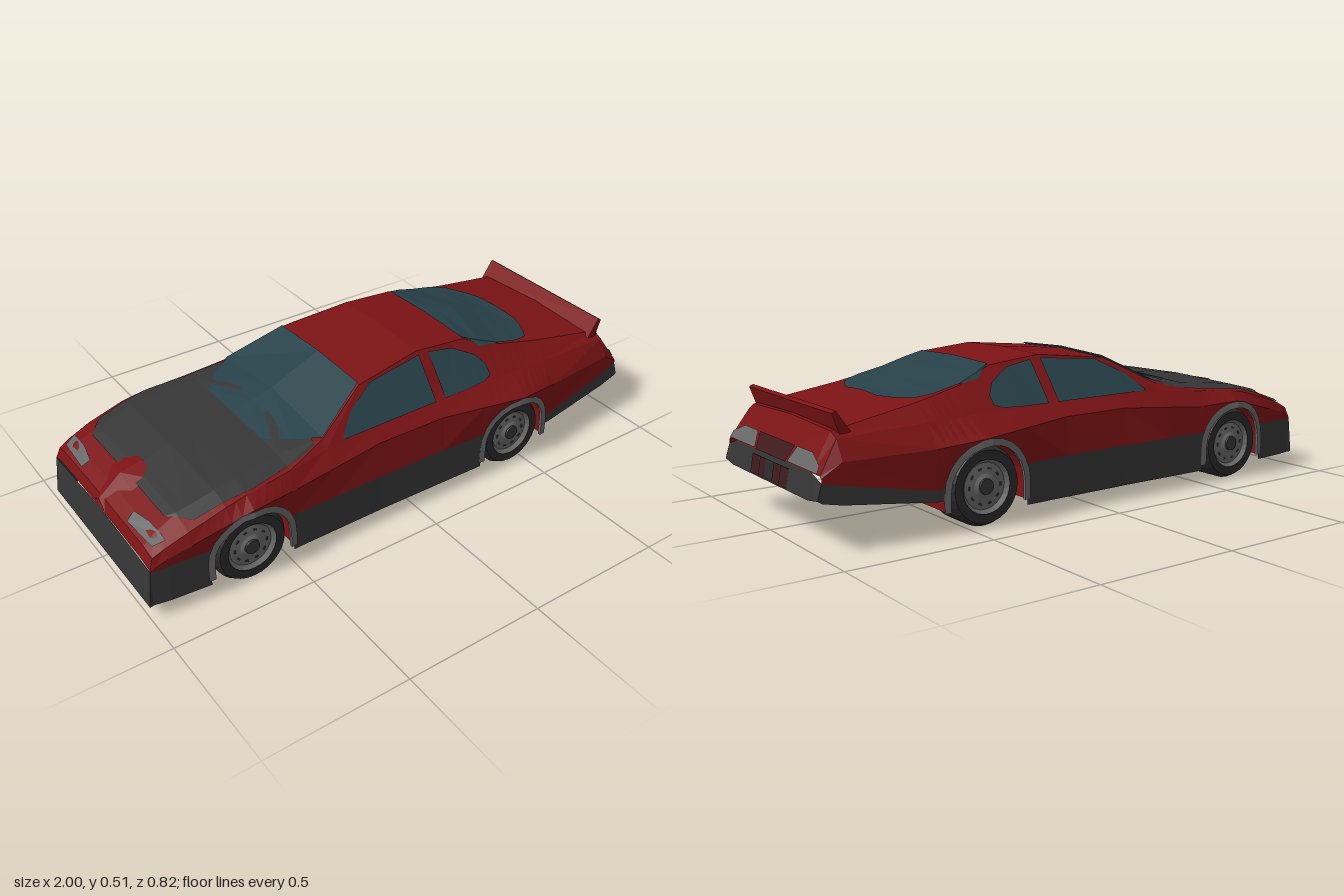
import * as THREE from 'three';

const paint = (color) => new THREE.MeshStandardMaterial({ color, flatShading: true, side: THREE.DoubleSide });
const RED = paint(0x7c1315), DARK = paint(0x363636), GLASS = paint(0x274149), GREY = paint(0x686868),
  MAROON = paint(0x401a1c), TYRE = paint(0x2a2a2a);

// Lower body: x, paint line y/z, widest crease y/z
const SIDE = [
  [-0.985, 0.18, 0.352, 0.185, 0.352],
  [-0.93, 0.185, 0.362, 0.215, 0.365],
  [-0.645, 0.19, 0.388, 0.292, 0.4],
  [-0.48, 0.19, 0.38, 0.285, 0.378],
  [-0.14, 0.19, 0.378, 0.315, 0.362],
  [0.12, 0.19, 0.382, 0.315, 0.367],
  [0.46, 0.18, 0.388, 0.29, 0.408],
  [0.62, 0.145, 0.378, 0.275, 0.384],
  [0.92, 0.2, 0.35, 0.27, 0.35],
  [0.985, 0.215, 0.343, 0.228, 0.343],
];
// Upper body: x, belt y/z, roof edge y/z, centre y
const TOP = [
  [-0.985, 0.19, 0.348, 0.2, 0.29, 0.205],
  [-0.97, 0.225, 0.345, 0.235, 0.29, 0.24],
  [-0.93, 0.245, 0.35, 0.262, 0.285, 0.268],
  [-0.85, 0.275, 0.357, 0.297, 0.28, 0.302],
  [-0.72, 0.312, 0.36, 0.33, 0.29, 0.338],
  [-0.645, 0.325, 0.357, 0.34, 0.285, 0.346],
  [-0.48, 0.338, 0.345, 0.356, 0.27, 0.362],
  [-0.33, 0.35, 0.33, 0.375, 0.305, 0.405],
  [-0.14, 0.355, 0.325, 0.475, 0.237, 0.485],
  [0.12, 0.355, 0.325, 0.503, 0.21, 0.51],
  [0.32, 0.355, 0.325, 0.485, 0.215, 0.492],
  [0.46, 0.352, 0.325, 0.435, 0.25, 0.464],
  [0.62, 0.347, 0.325, 0.4, 0.262, 0.415],
  [0.92, 0.333, 0.315, 0.35, 0.28, 0.36],
  [0.985, 0.235, 0.335, 0.235, 0.28, 0.235],
];
const ARCHES = [-0.645, 0.44], ARCH_R = 0.15, AXLE = 0.13;

// Piecewise linear reading of a table sorted on its first column
function lookup(table, x) {
  let i = 0;
  while (i < table.length - 2 && table[i + 1][0] < x) i++;
  const [a, b] = [table[i], table[i + 1]];
  const t = THREE.MathUtils.clamp((x - a[0]) / (b[0] - a[0]), 0, 1);
  return a.map((v, k) => v + (b[k] - v) * t);
}

// Section rows from paint line to centre line, each [x, y, z]
function section(x) {
  const s = lookup(SIDE, x), t = lookup(TOP, x);
  return [[x, s[1], s[2]], [x, s[3], s[4]], [x, t[1], t[2]], [x, t[3], t[4]], [x, t[5], 0]];
}
const sideZ = (x, y) => lookup(section(x).map((p) => [p[1], p[2]]), y)[1];
const topY = (x, z) => lookup(section(x).slice(1).reverse().map((p) => [p[2], p[1]]), z)[1];
const baseY = (x) => lookup([[0.3, 0.05], [0.58, 0.11], [0.75, 0.11], [0.985, 0.155]], x)[1];
const withKeys = (table) => {
  const [a, b] = [table[0][0], table[table.length - 1][0]];
  return [...new Set([...table.map((r) => r[0]), ...TOP.map((k) => k[0]).filter((x) => x > a && x < b)])]
    .sort((p, q) => p - q);
};

function meshOf(name, pos, material) {
  const g = new THREE.BufferGeometry();
  g.setAttribute('position', new THREE.Float32BufferAttribute(pos, 3));
  g.computeVertexNormals();
  const m = new THREE.Mesh(g, material);
  m.name = name;
  return m;
}

// Adds a triangle and its mirror image
function tri(pos, a, b, c) {
  pos.push(...a, ...b, ...c);
  for (const p of [a, c, b]) pos.push(p[0], p[1], -p[2]);
}

// Surface through columns of points, on both sides
function loft(name, cols, material) {
  const pos = [];
  for (let i = 0; i < cols.length - 1; i++) {
    for (let j = 0; j < cols[i].length - 1; j++) {
      const [a, b, c, d] = [cols[i][j], cols[i + 1][j], cols[i + 1][j + 1], cols[i][j + 1]];
      tri(pos, a, b, c);
      tri(pos, a, c, d);
    }
  }
  return meshOf(name, pos, material);
}

// Convex panel, on both sides
function panel(name, pts, material) {
  const pos = [];
  for (let i = 1; i < pts.length - 1; i++) tri(pos, pts[0], pts[i], pts[i + 1]);
  return meshOf(name, pos, material);
}

// Panel lying on the top surface, table of [x, half width]
function topPanel(name, table, material, lift = 0.004) {
  return loft(name, withKeys(table).map((x) => {
    const w = lookup(table, x)[1];
    return section(x).slice(2).map(([, y, z]) => (z > w ? [x, topY(x, w) + lift, w] : [x, y + lift, z]));
  }), material);
}

// Window lying on the cabin side, table of [x, bottom, top]
function sideWindow(name, table) {
  return loft(name, withKeys(table).map((x) => {
    const [, lo, hi] = lookup(table, x);
    return [lo, hi].map((y) => [x, y + 0.002, sideZ(x, y) + 0.004]);
  }), GLASS);
}

function createWheel() {
  const wheel = new THREE.Group();
  const turned = (name, profile, material) => {
    const g = new THREE.LatheGeometry(profile.map(([r, h]) => new THREE.Vector2(r, h)), 28);
    const m = new THREE.Mesh(g.rotateX(Math.PI / 2), material);
    m.name = name;
    wheel.add(m);
  };
  turned('tyre', [[0, 0.25], [0.13, 0.25], [0.13, 0.355], [0.118, 0.376], [0.088, 0.376], [0.082, 0.362]], TYRE);
  turned('rim', [[0.088, 0.375], [0.076, 0.362], [0.04, 0.366], [0.03, 0.372], [0, 0.372]], GREY);
  turned('hub', [[0.027, 0.366], [0.025, 0.378], [0, 0.378]], DARK);
  for (let i = 0; i < 10; i++) {
    const a = (i / 10) * Math.PI * 2;
    const hole = new THREE.Mesh(new THREE.BoxGeometry(0.012, 0.006, 0.004), DARK);
    hole.name = 'rimHole';
    hole.position.set(Math.cos(a) * 0.058, Math.sin(a) * 0.058, 0.365);
    hole.rotation.z = a + Math.PI / 2;
    wheel.add(hole);
  }
  return wheel;
}

export function createModel() {
  const car = new THREE.Group();
  car.name = 'raceCar';

  // Body stations, with the lower edge following the wheel arches
  const stations = [];
  for (const cx of ARCHES) {
    stations.push([cx - ARCH_R, baseY(cx - ARCH_R)]);
    for (let k = 0; k <= 12; k++) {
      const a = (k / 12) * Math.PI;
      stations.push([cx - ARCH_R * Math.cos(a), AXLE + ARCH_R * Math.sin(a)]);
    }
    stations.push([cx + ARCH_R, baseY(cx + ARCH_R)]);
  }
  for (const [x] of TOP) {
    const cx = ARCHES.find((c) => Math.abs(x - c) < ARCH_R);
    stations.push([x, cx === undefined ? baseY(x) : AXLE + Math.sqrt(ARCH_R ** 2 - (x - cx) ** 2)]);
  }
  stations.sort((a, b) => a[0] - b[0]);
  const cols = stations.map(([x, y]) => {
    const rows = section(x);
    const line = Math.max(rows[0][1], y);
    rows[0] = [x, line, sideZ(x, line)];
    return [[x, y, sideZ(x, y)], ...rows];
  });
  car.add(loft('lowerSkirt', cols.map((c) => c.slice(0, 2)), DARK));
  car.add(loft('bodyShell', cols.map((c) => c.slice(1)), RED));

  // Bumper faces
  car.add(loft('frontBumper', [[[-1, 0.05, 0], [-0.985, 0.205, 0]], [[-1, 0.05, 0.355], [-0.985, 0.185, 0.352]],
    [[-0.985, 0.05, 0.352], [-0.985, 0.18, 0.352]]], DARK));
  car.add(loft('rearBumper', [[[0.985, 0.155, 0.343], [0.985, 0.215, 0.343]],
    [[1, 0.165, 0.345], [0.985, 0.215, 0.343]], [[1, 0.155, 0.28], [0.985, 0.235, 0.28]],
    [[1, 0.155, 0], [0.985, 0.235, 0]]], DARK));

  // Hood and glass
  car.add(topPanel('hood', [[-0.88, 0.26], [-0.82, 0.335], [-0.62, 0.35], [-0.48, 0.33], [-0.36, 0.315]], DARK));
  car.add(topPanel('windscreen', [[-0.48, 0.18], [-0.41, 0.25], [-0.33, 0.305], [-0.14, 0.232]], GLASS, 0.007));
  car.add(topPanel('rearWindow', [[0.32, 0.205], [0.38, 0.245], [0.55, 0.25], [0.61, 0.23], [0.65, 0.16], [0.67, 0.1]], GLASS));
  car.add(sideWindow('frontSideWindow', [[-0.26, 0.357, 0.365], [-0.2, 0.357, 0.42], [-0.1, 0.357, 0.472], [0.12, 0.357, 0.492]]));
  car.add(sideWindow('rearSideWindow', [[0.16, 0.357, 0.49], [0.26, 0.357, 0.475], [0.34, 0.36, 0.435], [0.37, 0.37, 0.4]]));

  // Nose ridge and headlights
  car.add(loft('noseRidge', [[[-0.82, 0.305, 0.11], [-0.82, 0.318, 0]], [[-0.9, 0.276, 0.09], [-0.9, 0.302, 0]],
    [[-0.985, 0.2, 0.05], [-0.983, 0.235, 0]]], RED));
  car.add(panel('headlight', [[-0.965, 0.17], [-0.955, 0.32], [-0.915, 0.335], [-0.92, 0.24], [-0.935, 0.16]]
    .map(([x, z]) => [x, topY(x, z) + 0.008, z]), GREY));

  // Tail lights, recess and bumper vents
  const tail = (y, z) => [0.992 - (y - 0.235) * 0.52, y, z];
  car.add(panel('tailLight', [tail(0.24, 0.12), tail(0.24, 0.325), tail(0.262, 0.318), tail(0.288, 0.25), tail(0.288, 0.145)], GREY));
  car.add(panel('tailRecess', [tail(0.237, 0), tail(0.237, 0.11), tail(0.288, 0.13), tail(0.288, 0)], MAROON));
  const vent = (name, z0, z1, material, out) => panel(name, [[0.16, z0], [0.16, z1], [0.22, z1], [0.22, z0]]
    .map(([y, z]) => [1 - (y - 0.155) * 0.19 + out, y, z]), material);
  car.add(vent('bumperPanel', 0, 0.135, TYRE, 0.002));
  for (const [a, b] of [[0.03, 0.073], [0.08, 0.132]]) car.add(vent('bumperVent', a, b, MAROON, 0.004));

  // Rear spoiler
  const blade = new THREE.Shape([[0.865, 0.345], [0.9, 0.335], [0.925, 0.405], [0.912, 0.412]].map((p) => new THREE.Vector2(...p)));
  const spoiler = new THREE.Mesh(new THREE.ExtrudeGeometry(blade, { depth: 0.6, bevelEnabled: false }).translate(0, 0, -0.3), RED);
  spoiler.name = 'spoiler';
  car.add(spoiler);

  // Arch flares, wheel housings and wheels
  for (const cx of ARCHES) {
    const flare = [], well = [], wall = [];
    for (let k = -1; k <= 13; k++) {
      const a = (THREE.MathUtils.clamp(k, 0, 12) / 12) * Math.PI;
      const leg = k < 0 || k > 12;
      const at = (r) => [cx - r * Math.cos(a), leg ? 0.07 : AXLE + r * Math.sin(a)];
      const [ox, oy] = at(0.16), [ix, iy] = at(0.137), [wx, wy] = at(0.148);
      const z = sideZ(ox, oy);
      flare.push([[ix, iy, z - 0.004], [ix, iy, z + 0.007], [ox, oy, z + 0.004]]);
      well.push([[wx, wy, 0.22], [wx, wy, sideZ(wx, wy) - 0.004]]);
      wall.push([wx, wy, 0.22]);
    }
    car.add(loft('archFlare', flare, GREY), loft('wheelHousing', well, RED), panel('housingWall', wall, RED));
    for (const turn of [0, Math.PI]) {
      const wheel = createWheel();
      wheel.name = cx < 0 ? 'frontWheel' : 'rearWheel';
      wheel.position.set(cx, AXLE, 0);
      wheel.rotation.y = turn;
      car.add(wheel);
    }
  }
  return car;
}
